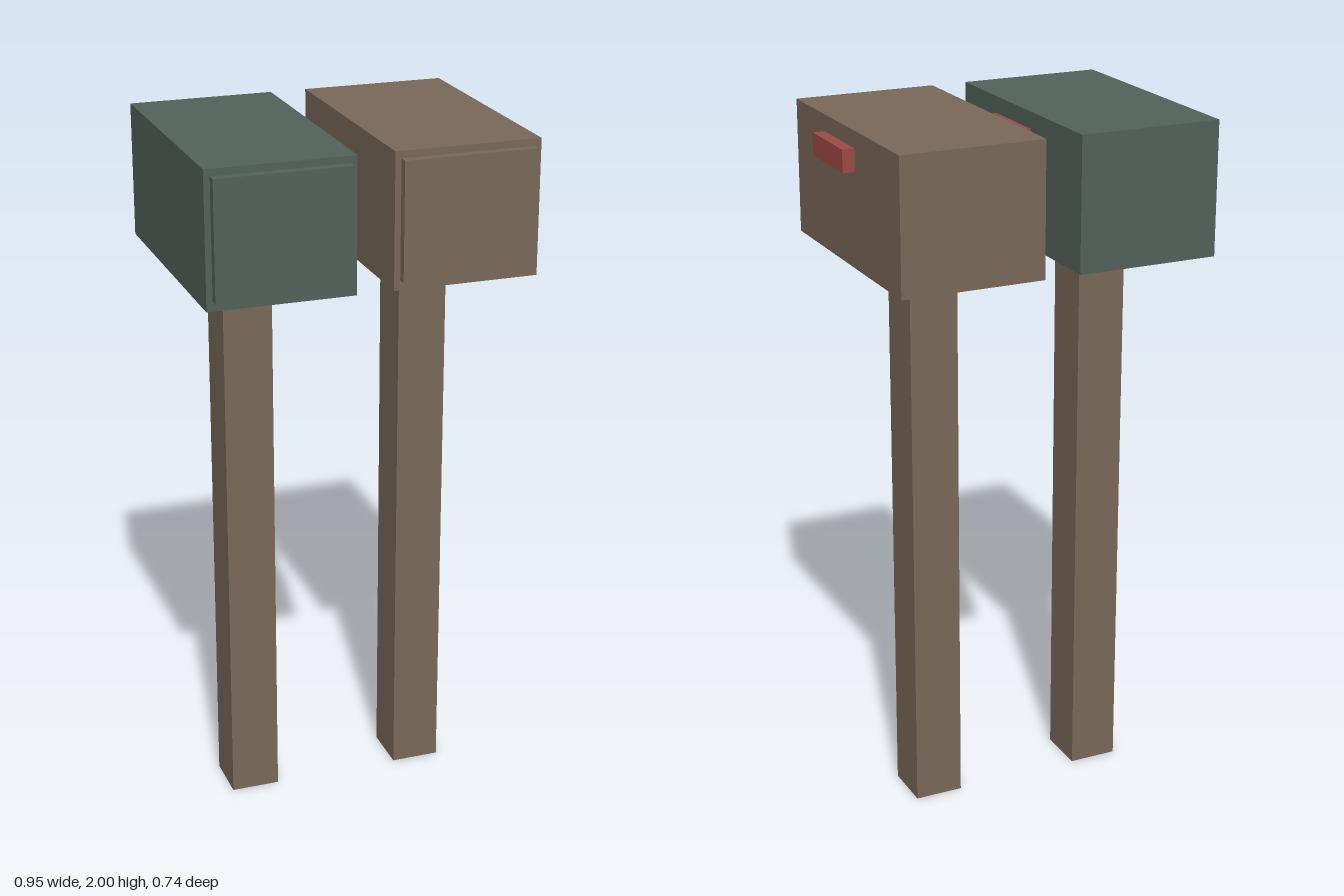
import * as THREE from 'three';

const material = (name, color) => {
  const m = new THREE.MeshStandardMaterial({ color });
  m.name = name;
  return m;
};

export function createModel() {
  const brown = material('weathered brown', 0x796858);
  const green = material('dull green', 0x52625a);
  const red = material('flag red', 0x9c4a45);

  // Box given by its min and max corners
  const block = (name, mat, [x0, y0, z0], [x1, y1, z1]) => {
    const mesh = new THREE.Mesh(new THREE.BoxGeometry(x1 - x0, y1 - y0, z1 - z0), mat);
    mesh.position.set((x0 + x1) / 2, (y0 + y1) / 2, (z0 + z1) / 2);
    mesh.name = name;
    return mesh;
  };

  // One mailbox on its post, centred on x = 0
  const mailbox = (name, paint, x) => {
    const group = new THREE.Group();
    group.name = name;
    group.position.x = x;
    group.add(
      block('post', brown, [-0.07, 0, -0.111], [0.07, 1.625, 0.036]),
      block('box', paint, [-0.204, 1.625, -0.372], [0.204, 2, 0.347]),
      block('door', paint, [-0.187, 1.652, 0.347], [0.187, 1.98, 0.372]),
      block('flag', red, [0.204, 1.89, -0.074], [0.238, 1.953, 0.139]),
    );
    return group;
  };

  const model = new THREE.Group();
  model.name = 'mailboxPair';
  model.add(mailbox('rightMailbox', green, -0.273), mailbox('leftMailbox', brown, 0.238));
  return model;
}
